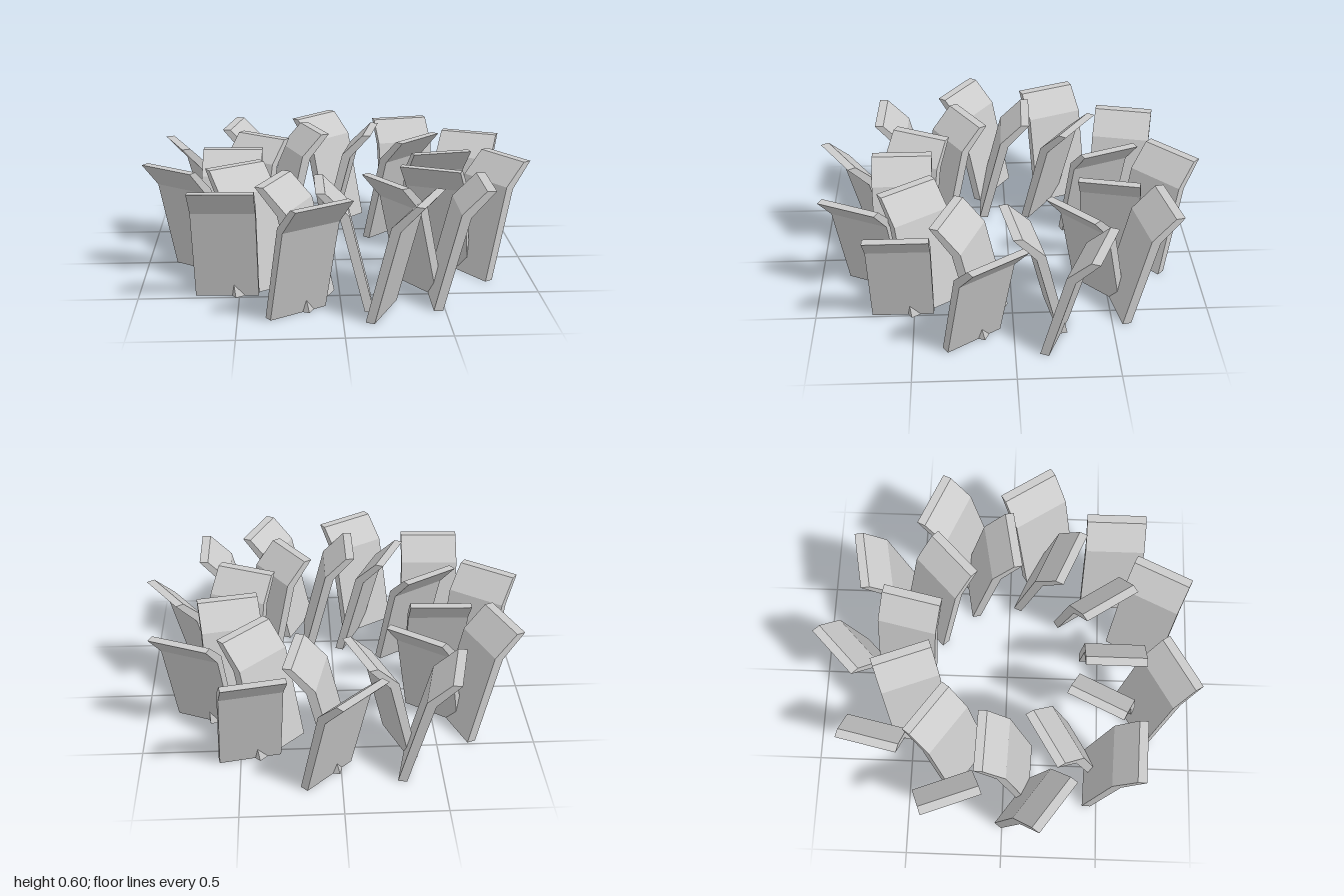
import * as THREE from 'three';

const COUNT = 11;
const STEP = THREE.MathUtils.degToRad(33.5); // slightly over-wound, leaves a tight last gap
const Z_IN = 0.39, WIDTH = 0.313;

// Bent slab: leaning lower part, kinked upper part; x is the lean direction
function slabGeometry(footX, dir) {
  const profile = [
    [0, 0], [0.045, 0], [0.165, 0.47], [0.28, 0.6], [0.235, 0.6], [0.12, 0.485],
  ].map(([s, y]) => new THREE.Vector2(footX + dir * s, y));
  const geometry = new THREE.ExtrudeGeometry(new THREE.Shape(profile), {
    depth: WIDTH, bevelEnabled: false,
  });
  return geometry.translate(0, 0, Z_IN);
}

export function createModel() {
  const model = new THREE.Group();
  model.name = 'slabRing';
  const material = new THREE.MeshStandardMaterial({ color: 0xcccccc, flatShading: true });

  // Inner slabs lean one way round the ring, outer slabs the other way
  const rings = [
    { name: 'innerSlab', geometry: slabGeometry(0.152, -1) },
    { name: 'outerSlab', geometry: slabGeometry(0.44, 1) },
  ];
  for (const { name, geometry } of rings) {
    for (let i = 0; i < COUNT; i++) {
      const slab = new THREE.Mesh(geometry, material);
      slab.name = `${name}${i + 1}`;
      slab.rotation.y = i * STEP;
      slab.position.set(0.003, 0, 0.01);
      model.add(slab);
    }
  }
  return model;
}
